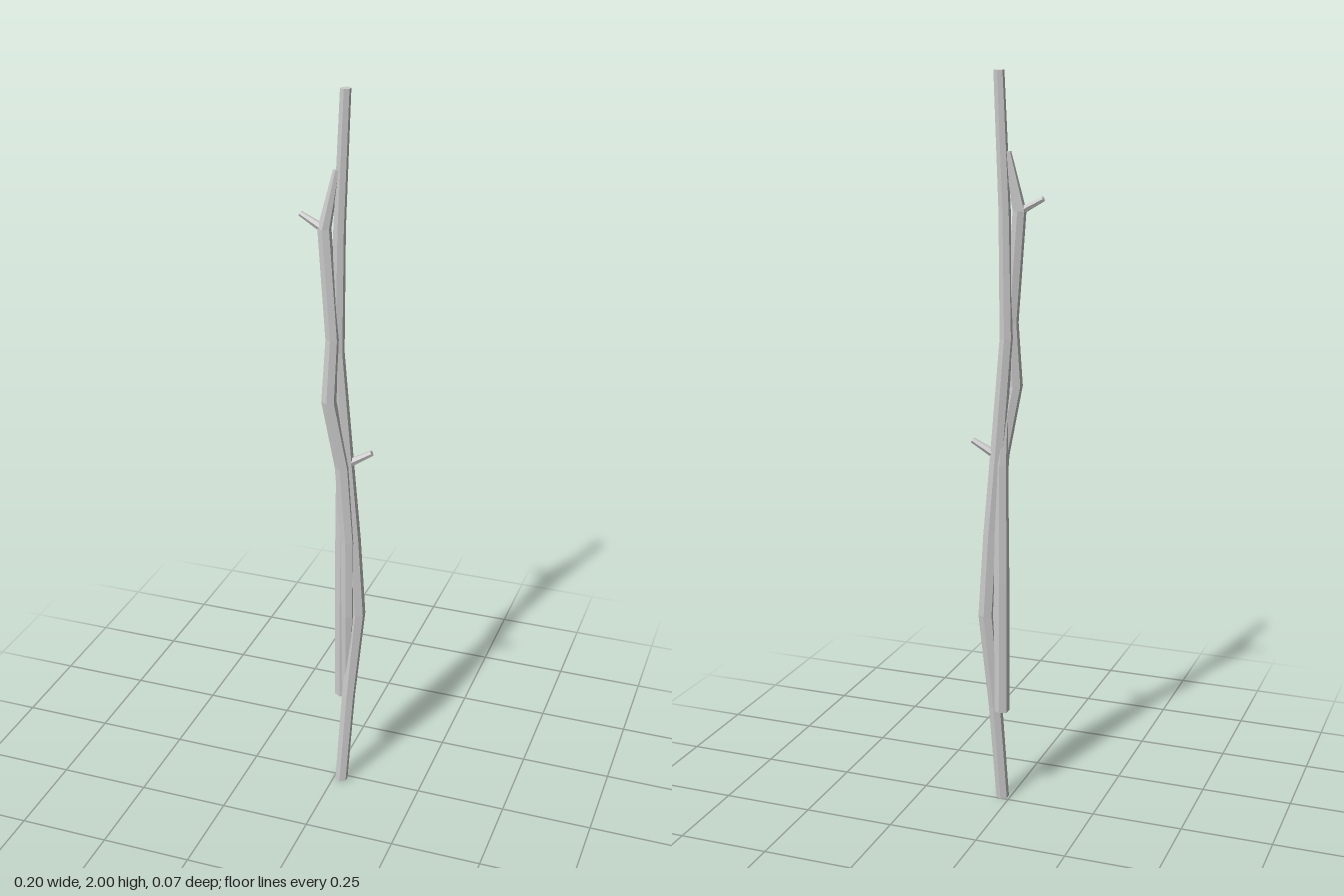
import * as THREE from 'three';

const material = new THREE.MeshStandardMaterial({ color: 0xcccccc, flatShading: true });

// Six-sided branch bent through stations [x, y, z, radius], listed bottom to top
function strand(name, stations) {
  const n = stations.length - 1;
  const geometry = new THREE.CylinderGeometry(1, 1, n, 6, n);
  const p = geometry.attributes.position;
  for (let i = 0; i < p.count; i++) {
    const [x, y, z, r] = stations[Math.round(p.getY(i) + n / 2)];
    p.setXYZ(i, x + p.getX(i) * r, y, z + p.getZ(i) * r);
  }
  geometry.computeVertexNormals();
  const mesh = new THREE.Mesh(geometry, material);
  mesh.name = name;
  return mesh;
}

// Short tapered twig between two points
function twig(name, from, to, baseRadius, tipRadius) {
  const a = new THREE.Vector3(...from), b = new THREE.Vector3(...to);
  const dir = b.clone().sub(a);
  const mesh = new THREE.Mesh(
    new THREE.CylinderGeometry(tipRadius, baseRadius, dir.length(), 6), material);
  mesh.quaternion.setFromUnitVectors(new THREE.Vector3(0, 1, 0), dir.normalize());
  mesh.position.copy(a).add(b).multiplyScalar(0.5);
  mesh.name = name;
  return mesh;
}

export function createModel() {
  const group = new THREE.Group();
  group.name = 'twistedStaff';
  group.add(
    // Full-length branch
    strand('mainBranch', [
      [0.022, 0, 0.016, 0.018],
      [0.038, 0.28, 0.003, 0.019],
      [0.059, 0.55, -0.011, 0.022],
      [0.045, 0.78, -0.011, 0.021],
      [0.024, 1.02, -0.012, 0.02],
      [0, 1.32, -0.012, 0.018],
      [0.004, 1.65, -0.014, 0.016],
      [0.018, 2, -0.017, 0.014],
    ]),
    // Branch winding across the front
    strand('frontBranch', [
      [0.03, 0.28, -0.004, 0.012],
      [0.036, 0.55, 0.005, 0.018],
      [0.034, 0.78, 0.003, 0.02],
      [0.018, 1.0, 0.003, 0.02],
      [-0.015, 1.19, 0.015, 0.02],
      [-0.008, 1.36, 0.007, 0.018],
      [-0.032, 1.65, -0.002, 0.018],
      [-0.003, 1.8, -0.01, 0.009],
    ]),
    // Straight lower branch at the back
    strand('rearBranch', [
      [0.013, 0.275, -0.014, 0.021],
      [0.013, 0.65, -0.014, 0.021],
      [0.014, 0.98, -0.012, 0.018],
      [0.008, 1.1, -0.006, 0.012],
    ]),
    twig('upperTwig', [-0.025, 1.645, 0], [-0.096, 1.683, -0.001], 0.012, 0.007),
    twig('lowerTwig', [0.03, 1.005, -0.013], [0.093, 1.042, -0.02], 0.012, 0.008),
  );
  return group;
}
